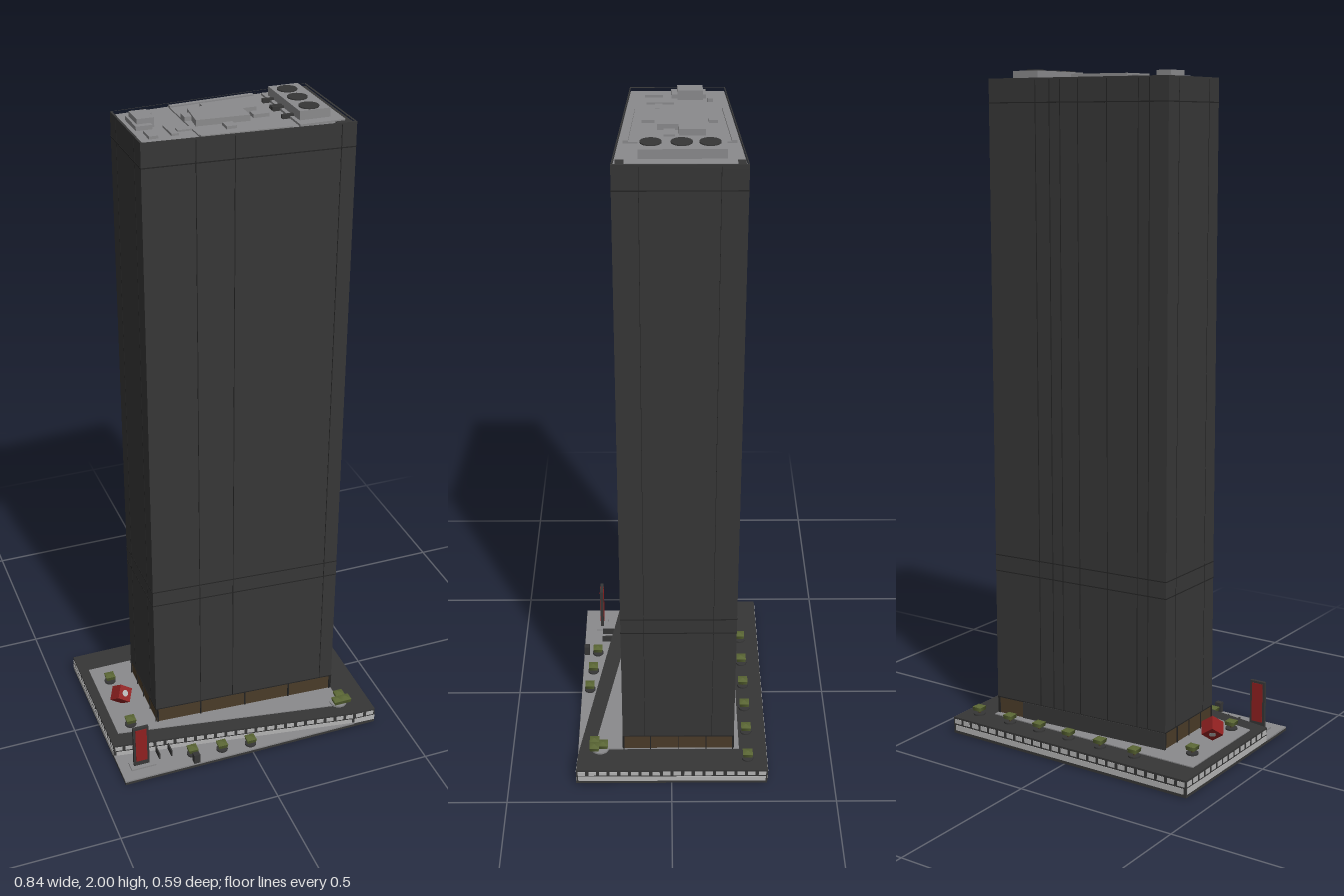
import * as THREE from 'three';

const mat = (name, color) => Object.assign(new THREE.MeshStandardMaterial({ color }), { name });

export function createModel() {
  const root = new THREE.Group();
  root.name = 'officeTower';
  const dark = mat('darkGlass', 0x363636);
  const seam = mat('seam', 0x232323);
  const grey = mat('paving', 0x8a8a8c);
  const light = mat('lightPanel', 0xb4b4b4);
  const brown = mat('lobbyBronze', 0x4a3b28);
  const red = mat('red', 0x8f2020);
  const green = mat('foliage', 0x5a6634);

  const add = (name, geo, m, x = 0, y = 0, z = 0, parent = root) => {
    const mesh = new THREE.Mesh(geo, m);
    mesh.name = name;
    mesh.position.set(x, y, z);
    parent.add(mesh);
    return mesh;
  };
  // Box standing on y0, centred on x and z
  const box = (name, m, x, z, w, d, y0, y1) =>
    add(name, new THREE.BoxGeometry(w, y1 - y0, d), m, x, (y0 + y1) / 2, z);
  // Vertical prism over a plan outline of [x, z] points, with optional hole
  const prism = (name, m, pts, y0, y1, hole) => {
    const v = (p) => p.map(([x, z]) => new THREE.Vector2(x, -z));
    const s = new THREE.Shape(v(pts));
    if (hole) s.holes.push(new THREE.Path(v(hole)));
    const g = new THREE.ExtrudeGeometry(s, { depth: y1 - y0, bevelEnabled: false });
    g.rotateX(-Math.PI / 2);
    return add(name, g, m, 0, y0, 0);
  };
  // Thin plate lying on the wall from a to b, between fractions t0 and t1
  const plate = (name, m, a, b, t0, t1, y0, y1, thick = 0.003) => {
    const dx = b[0] - a[0], dz = b[1] - a[1], t = (t0 + t1) / 2;
    const p = box(name, m, a[0] + dx * t, a[1] + dz * t, Math.hypot(dx, dz) * (t1 - t0), thick, y0, y1);
    p.rotation.y = -Math.atan2(dz, dx);
  };
  const inset = (pts, k) => pts.map(([x, z]) => [0.033 + (x - 0.033) * k, -0.02 + (z + 0.02) * k]);

  // Plaza: low slab, paved wedge, raised podium and inner paving
  const podium = [[-0.42, -0.295], [0.42, -0.295], [0.42, 0.293], [0.35, 0.29], [-0.42, 0.17]];
  const paving = [[-0.39, -0.21], [0.327, -0.21], [0.327, 0.24], [0.3, 0.236], [-0.39, 0.12]];
  box('plazaSlab', dark, 0, 0, 0.84, 0.588, 0, 0.008);
  prism('lowerPaving', grey, [[-0.42, 0.17], [0.35, 0.29], [0.35, 0.293], [-0.42, 0.293]], 0.008, 0.013);
  prism('podium', dark, podium, 0.008, 0.052);
  prism('upperPaving', grey, paving, 0.052, 0.055);
  prism('undersidePanel', grey, [[-0.22, -0.03], [0.365, 0.145], [0.365, 0.16], [-0.22, 0.17]], -0.0004, 0.002);

  // Light panels in two rows around the podium wall
  podium.forEach((a, i) => {
    const b = podium[(i + 1) % podium.length];
    const n = Math.max(2, Math.round(Math.hypot(b[0] - a[0], b[1] - a[1]) / 0.033));
    plate('podiumLowerPanel', light, a, b, 0.01, 0.99, 0.01, 0.027);
    for (let k = 0; k < n; k++)
      plate('podiumUpperPanel', light, a, b, (k + 0.15) / n, (k + 0.85) / n, 0.032, 0.046);
  });

  // Tower shaft with a bronze lobby on three sides
  const plan = [[-0.26, -0.152], [0.327, -0.193], [0.327, 0.151], [-0.26, 0.112]];
  const [bl, br, fr, fl] = plan;
  prism('lobby', brown, inset(plan, 0.99), 0.053, 0.105);
  prism('towerShaft', dark, plan, 0.105, 1.962);
  prism('roofParapet', dark, plan, 1.962, 1.975, inset(plan, 0.98));
  prism('roofDeck', grey, inset(plan, 0.98), 1.962, 1.966);
  plate('lobbyBackWall', dark, br, bl, 0.16, 1, 0.053, 0.106, 0.006);

  // Lobby mullions and facade joints
  const walls = [
    [fl, fr, [0.25, 0.43, 0.93]],
    [fr, br, [0.2, 0.8]],
    [br, bl, [0.27, 0.35, 0.41, 0.51, 0.67, 0.84, 0.9]],
    [bl, fl, [0.2, 0.8]],
  ];
  for (const [a, b, joints] of walls) {
    for (const t of joints) plate('facadeJoint', seam, a, b, t - 0.002, t + 0.002, 0.105, 1.97, 0.002);
    for (const y of [0.105, 0.51, 0.56, 1.905]) plate('floorJoint', seam, a, b, 0, 1, y, y + 0.003, 0.002);
    for (const t of [0.01, 0.25, 0.5, 0.75, 0.99]) plate('lobbyMullion', seam, a, b, t - 0.004, t + 0.004, 0.053, 0.105);
  }

  // Roof plant: central penthouse, ducts and small units
  prism('roofPlatform', grey, [[-0.095, -0.145], [0.155, -0.16], [0.155, 0.12], [-0.095, 0.108]], 1.965, 1.97);
  prism('penthouse', grey, [[-0.07, -0.07], [0.11, -0.09], [0.11, -0.02], [0.07, -0.02], [0.07, 0.036], [-0.08, 0.028]], 1.968, 1.987);
  for (const [x, z, w, d, h] of [
    [-0.203, -0.054, 0.048, 0.07, 1.992], [-0.212, -0.05, 0.046, 0.095, 1.978],
    [-0.21, 0.045, 0.025, 0.05, 1.974], [-0.175, -0.108, 0.03, 0.015, 1.976],
    [0, -0.112, 0.032, 0.024, 1.978], [0.002, 0.06, 0.028, 0.034, 1.978],
    [0.108, 0.005, 0.045, 0.03, 1.98], [-0.15, 0.028, 0.02, 0.075, 1.972],
    [-0.08, -0.035, 0.03, 0.03, 1.982], [-0.115, 0.032, 0.04, 0.02, 1.971],
  ]) box('roofUnit', grey, x, z, w, d, 1.964, h);
  for (const [z, turn] of [[-0.154, 0.07], [0.11, -0.06]])
    box('roofDuct', grey, 0.03, z, 0.25, 0.014, 1.964, 1.974).rotation.y = turn;

  // Cooling block with three fans and pipes
  box('coolingPlatform', grey, 0.245, -0.025, 0.13, 0.28, 1.964, 1.972);
  box('coolingBlock', grey, 0.235, -0.028, 0.088, 0.224, 1.97, 1.997);
  box('roofTrench', dark, 0.301, -0.175, 0.045, 0.022, 1.964, 1.97);
  box('roofTrench', dark, 0.301, 0.13, 0.045, 0.022, 1.964, 1.97);
  box('roofTrench', dark, 0.315, -0.02, 0.014, 0.3, 1.964, 1.97);
  for (const z of [-0.098, -0.026, 0.052])
    add('coolingFan', new THREE.CylinderGeometry(0.028, 0.028, 0.006, 20), dark, 0.23, 1.997, z);
  for (const z of [-0.1, -0.042, -0.028, 0.04]) box('coolingPipe', dark, 0.175, z, 0.036, 0.009, 1.966, 1.978);

  // Trees with square faceted crowns
  const tree = (x, z, y, planter = true) => {
    const g = new THREE.Group();
    g.name = 'tree';
    g.position.set(x, y, z);
    root.add(g);
    if (planter) add('planter', new THREE.CylinderGeometry(0.018, 0.018, 0.005, 16), dark, 0, 0.0025, 0, g);
    add('trunk', new THREE.CylinderGeometry(0.004, 0.004, 0.018, 6), brown, 0, 0.009, 0, g);
    const crown = new THREE.CylinderGeometry(0.0215, 0.019, 0.012, 4).rotateY(Math.PI / 4);
    add('crown', crown, green, 0, 0.02, 0, g);
    add('crownTop', new THREE.ConeGeometry(0.0215, 0.006, 4).rotateY(Math.PI / 4), green, 0, 0.029, 0, g);
  };
  for (const x of [-0.207, -0.086, 0.028, 0.137, 0.248, 0.368]) tree(x, -0.235, 0.052);
  for (const z of [-0.131, 0.094]) tree(-0.34, z, 0.055);
  for (const [x, z] of [[-0.186, 0.247], [-0.092, 0.259], [0.001, 0.267]]) tree(x, z, 0.013);
  add('cornerPlanter', new THREE.CylinderGeometry(0.028, 0.028, 0.006, 24), grey, 0.322, 0.055, 0.222);
  for (const [x, z] of [[0.329, 0.212], [0.312, 0.239], [0.339, 0.239]]) tree(x, z, 0.054, false);

  // Red cube balanced on one corner, pierced by a round opening
  const axis = (deg) => {
    const a = THREE.MathUtils.degToRad(deg);
    return new THREE.Vector3(Math.cos(a) * 0.037, 0.026, Math.sin(a) * 0.037);
  };
  const tilt = new THREE.Matrix4().makeBasis(axis(180), axis(60), axis(-60));
  add('cubeSculpture', new THREE.BoxGeometry(1, 1, 1).applyMatrix4(tilt), red, -0.337, 0.093, -0.013);
  add('cubeOpening', new THREE.CylinderGeometry(0.23, 0.23, 1.02, 24).applyMatrix4(tilt), light, -0.337, 0.093, -0.013);

  // Upright sign on its plinth, with red faces
  box('signPlinth', grey, -0.348, 0.237, 0.08, 0.038, 0.012, 0.018);
  box('signPanel', dark, -0.351, 0.237, 0.05, 0.01, 0.018, 0.165);
  for (const s of [-1, 1]) box('signFace', red, -0.351, 0.237 + s * 0.005, 0.036, 0.003, 0.035, 0.158);

  // Low walls and a bin on the lower plaza
  for (const x of [-0.29, -0.25]) box('stepWall', dark, x, 0.215, 0.004, 0.038, 0.012, 0.035);
  box('kiosk', dark, -0.186, 0.284, 0.02, 0.017, 0.012, 0.045);

  return root;
}
